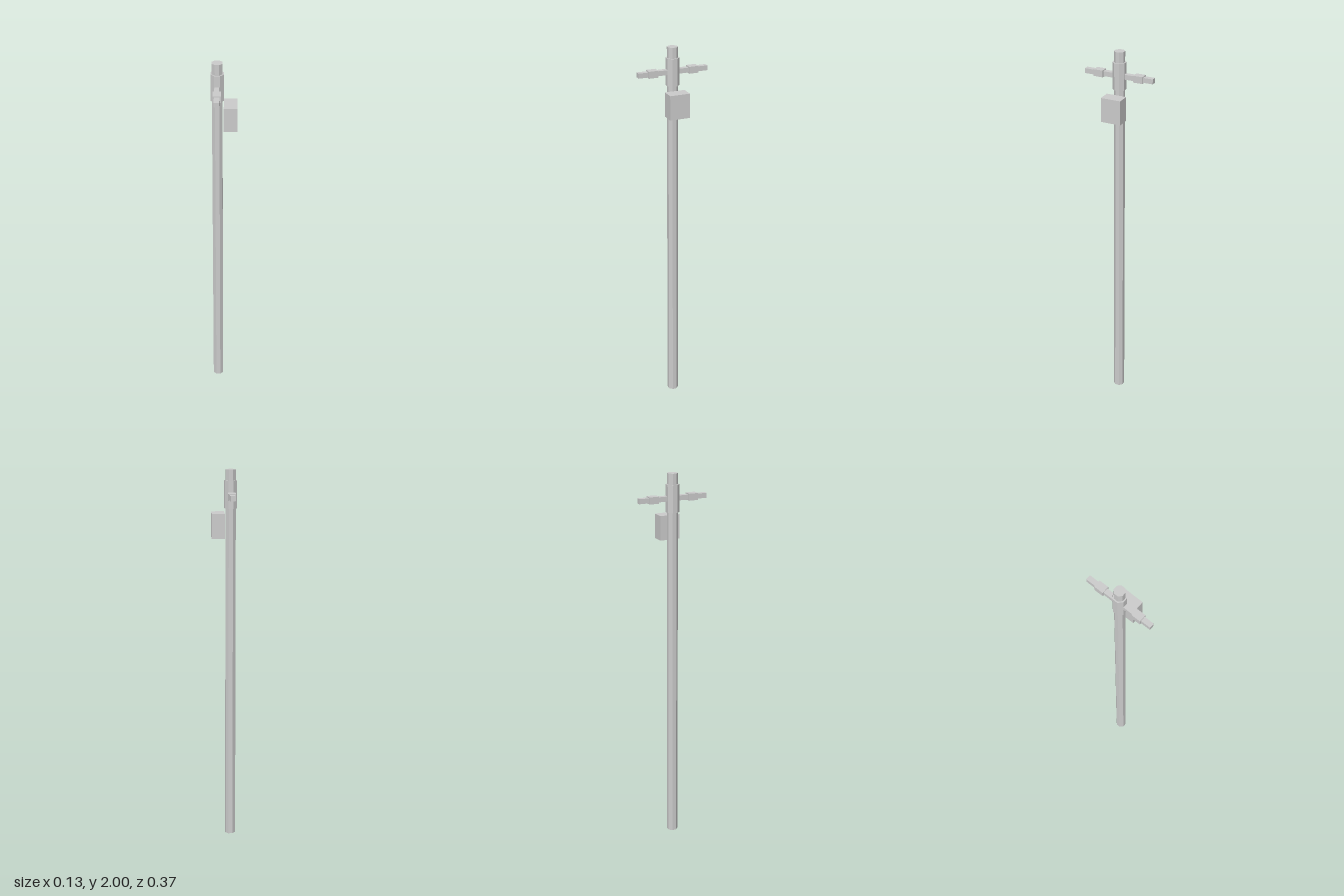
import * as THREE from 'three';

const POLE_X = -0.034;
const ARM_Y = 1.875;

export function createModel() {
  const model = new THREE.Group();
  model.name = 'utilityPole';
  const grey = new THREE.MeshStandardMaterial({ color: 0xcccccc, flatShading: true });

  const add = (name, geometry, x, y, z) => {
    const mesh = new THREE.Mesh(geometry, grey);
    mesh.name = name;
    mesh.position.set(x, y, z);
    model.add(mesh);
  };

  // Octagonal prism with flat sides facing the axes, sized by its half width
  const octagon = (topHalf, bottomHalf, height) => {
    const k = 1 / Math.cos(Math.PI / 8);
    return new THREE.CylinderGeometry(topHalf * k, bottomHalf * k, height, 8).rotateY(Math.PI / 8);
  };

  // Slightly tapered pole and the collar near its top
  add('pole', octagon(0.0255, 0.0275, 2), POLE_X, 1, -0.001);
  add('collar', octagon(0.032, 0.032, 0.14), POLE_X, 1.875, -0.001);

  // One arm with a thicker sleeve on each side
  for (const [side, s] of [['front', 1], ['back', -1]]) {
    add(side + 'Arm', new THREE.BoxGeometry(0.026, 0.025, 0.17), POLE_X, ARM_Y, s * 0.1 - 0.001);
    add(side + 'Sleeve', new THREE.BoxGeometry(0.039, 0.035, 0.05), POLE_X, ARM_Y, s * 0.108 - 0.001);
  }

  // Equipment box hung beside the pole
  add('equipmentBox', new THREE.BoxGeometry(0.067, 0.126, 0.106), 0.0315, 1.719, 0);

  return model;
}
